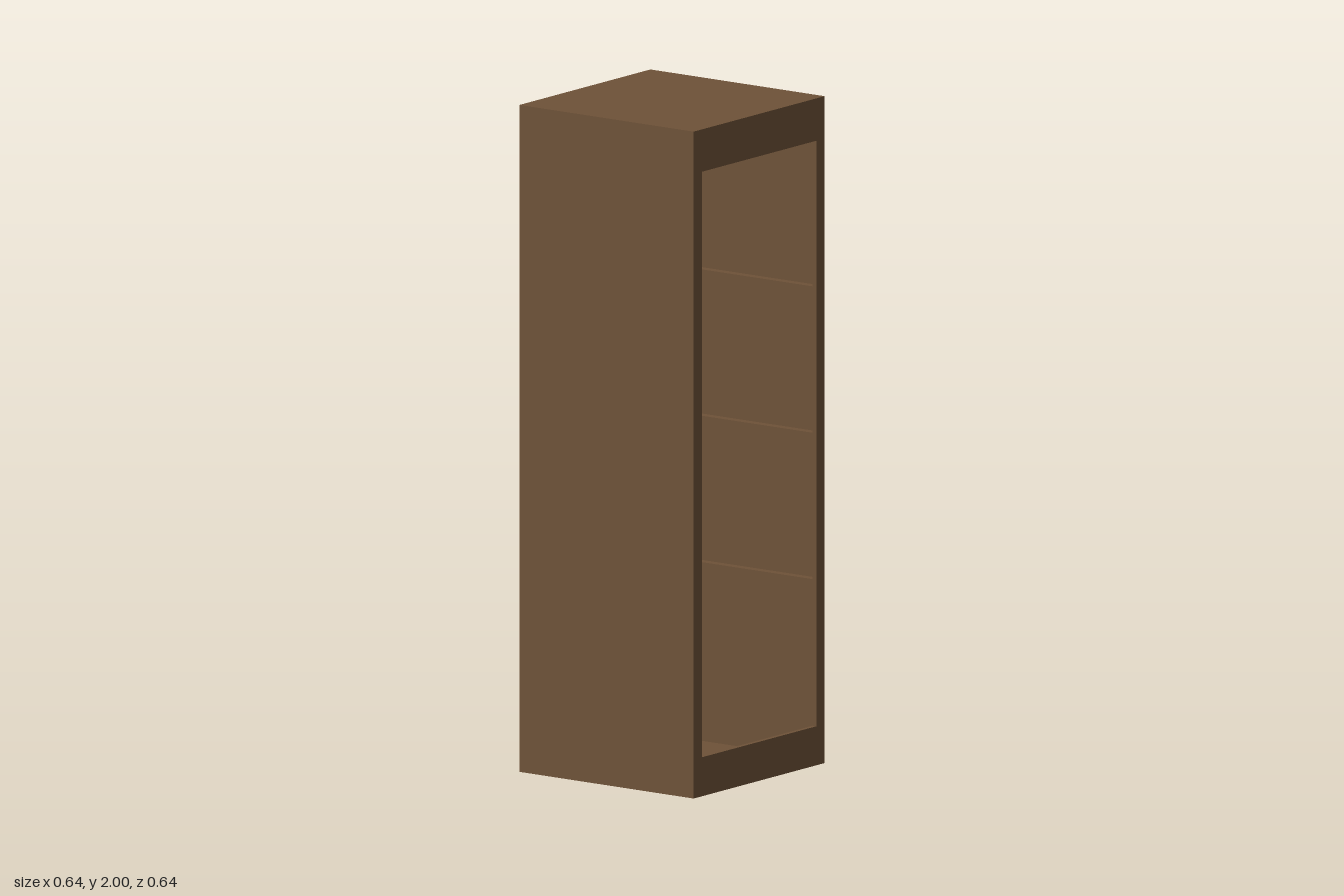
import * as THREE from 'three';

const W = 0.64, H = 2, T = 0.014;      // cabinet width and depth, height, panel thickness
const HALF = W / 2, INNER = HALF - T;
const OPEN = 0.28;                     // half width of the side opening
const OPEN_BOTTOM = 0.117, OPEN_TOP = 1.873;

export function createModel() {
  const wood = new THREE.MeshStandardMaterial({ color: 0x6e5238 });
  wood.name = 'brown wood';
  const cabinet = new THREE.Group();
  cabinet.name = 'cabinet';

  const box = (name, parent, sx, sy, sz, x, y, z) => {
    const mesh = new THREE.Mesh(new THREE.BoxGeometry(sx, sy, sz), wood);
    mesh.name = name;
    mesh.position.set(x, y, z);
    parent.add(mesh);
  };

  // Thin outer panels
  const inside = W - 2 * T, wallH = H - 2 * T;
  box('topPanel', cabinet, W - T, T, W, -T / 2, H - T / 2, 0);
  box('bottomPanel', cabinet, W - T, T, W, -T / 2, T / 2, 0);
  box('frontPanel', cabinet, W - T, wallH, T, -T / 2, H / 2, HALF - T / 2);
  box('rearPanel', cabinet, W - T, wallH, T, -T / 2, H / 2, -HALF + T / 2);
  box('closedSidePanel', cabinet, T, wallH, inside, -HALF + T / 2, H / 2, 0);

  // Frame around the open side
  const outline = new THREE.Shape([
    new THREE.Vector2(-HALF, 0), new THREE.Vector2(HALF, 0),
    new THREE.Vector2(HALF, H), new THREE.Vector2(-HALF, H),
  ]);
  outline.holes.push(new THREE.Path([
    new THREE.Vector2(-OPEN, OPEN_BOTTOM), new THREE.Vector2(-OPEN, OPEN_TOP),
    new THREE.Vector2(OPEN, OPEN_TOP), new THREE.Vector2(OPEN, OPEN_BOTTOM),
  ]));
  const frameGeometry = new THREE.ExtrudeGeometry(outline, { depth: T, bevelEnabled: false });
  frameGeometry.rotateY(Math.PI / 2).translate(INNER, 0, 0);
  const frame = new THREE.Mesh(frameGeometry, wood);
  frame.name = 'openingFrame';
  cabinet.add(frame);

  // Narrow shelf ledges running round the three inner walls
  const ledge = INNER - OPEN, thick = 0.027;
  [0.543, 0.982, 1.421].forEach((y, i) => {
    const shelf = new THREE.Group();
    shelf.name = `shelfLedge${i + 1}`;
    for (const side of [-1, 1]) {
      box(side > 0 ? 'frontLedge' : 'rearLedge', shelf, inside, thick, ledge, 0, y, side * (OPEN + ledge / 2));
    }
    box('innerLedge', shelf, ledge, thick, 2 * OPEN, -OPEN - ledge / 2, y, 0);
    cabinet.add(shelf);
  });

  return cabinet;
}
